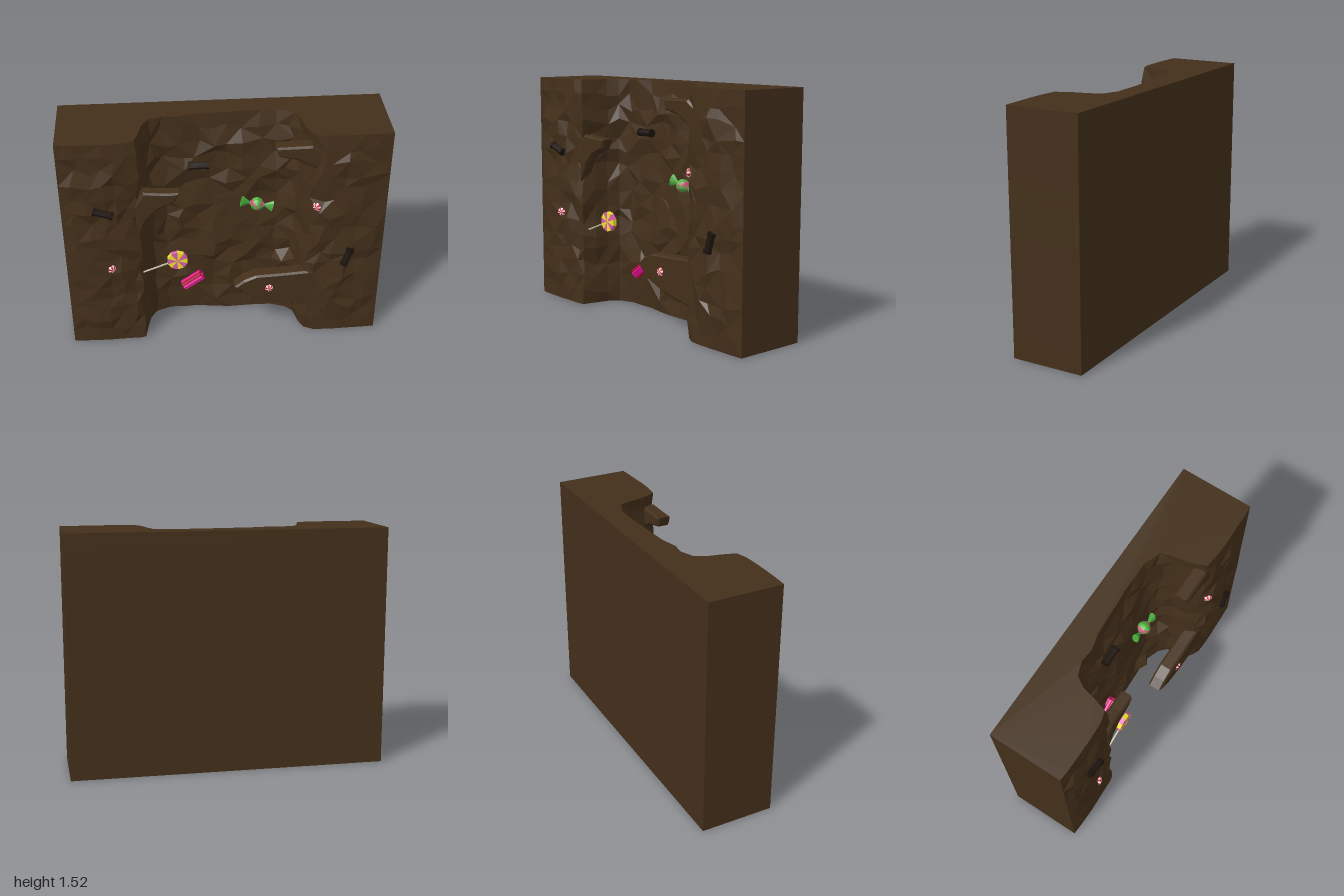
import * as THREE from 'three';

const W = 1, H = 1.52, BACK = -0.27, ROWS = 16;
const ROCK = 0x432f1a;

// repeatable noise in -1..1 from two indices
function noise(i, j) {
  const s = Math.sin(i * 127.1 + j * 311.7) * 43758.5453;
  return (s - Math.floor(s)) * 2 - 1;
}

function mat(color, flat = true) {
  return new THREE.MeshStandardMaterial({ color, flatShading: flat });
}

function add(parent, name, geometry, color, pos = [0, 0, 0], rot = [0, 0, 0]) {
  const m = new THREE.Mesh(geometry, mat(color));
  m.name = name;
  m.position.set(...pos);
  m.rotation.set(...rot);
  parent.add(m);
  return m;
}

// Horizontal section of the wall front, left cliff - recess - right cliff
const SECTION = [
  [-1, 0.2], [-0.92, 0.215], [-0.83, 0.225], [-0.74, 0.225], [-0.66, 0.215], [-0.59, 0.205], [-0.53, 0.185],
  [-0.5, 0.1], [-0.48, 0.02], [-0.44, -0.05], [-0.36, -0.08], [-0.26, -0.08], [-0.16, -0.085], [-0.06, -0.08],
  [0.04, -0.08], [0.14, -0.085], [0.24, -0.085], [0.34, -0.08], [0.42, -0.055], [0.475, 0.01], [0.49, 0.1],
  [0.53, 0.185], [0.59, 0.215], [0.66, 0.225], [0.74, 0.23], [0.83, 0.22], [0.92, 0.215], [1, 0.2],
];

// One closed loop per row, front points first, then the two back corners
function sectionAt(row) {
  const t = row / ROWS;
  const taper = Math.min(1, Math.min(t, 1 - t) * 8);
  const loop = SECTION.map(([x, z], c) => {
    if (Math.abs(x) === 1) return [x, z];
    const onFace = Math.abs(x) > 0.56;
    const onSide = !onFace && Math.abs(x) > 0.43;
    const px = x + (onSide ? 0.012 * noise(row, x > 0 ? 5 : 9) + 0.008 * noise(row, c) : 0.028 * noise(row + 40, c));
    let pz;
    if (onFace) pz = 0.2 + (z - 0.2) * (0.3 + 0.7 * taper) + 0.017 * noise(row, c) * taper;
    else if (onSide) pz = z + 0.014 * noise(row, c);
    else {
      pz = z + 0.022 * noise(row, c);
      if (t > 0.93) pz -= 0.035 * (1 - Math.abs(x - 0.15) * 1.6) * (t === 1 ? 1.4 : 0.6);
    }
    return [px, pz];
  });
  loop.push([W, BACK], [-W, BACK]);
  return loop;
}

function wallGeometry() {
  const pos = [], idx = [];
  const n = SECTION.length + 2;
  let loop;
  for (let r = 0; r <= ROWS; r++) {
    loop = sectionAt(r);
    loop.forEach(([x, z], c) => {
      const inner = r > 0 && r < ROWS && Math.abs(x) < 0.98;
      pos.push(x, H * r / ROWS + (inner ? 0.026 * noise(r + 80, c) : 0), z);
    });
  }
  for (let r = 0; r < ROWS; r++) {
    for (let c = 0; c < n; c++) {
      const a = r * n + c, b = r * n + (c + 1) % n;
      if ((r * 7 + c * 3) % 5 < 3) idx.push(a, b, b + n, a, b + n, a + n);
      else idx.push(a, b, a + n, b, b + n, a + n);
    }
  }
  // flat top and bottom
  for (const r of [0, ROWS]) {
    const pts = sectionAt(r).map(([x, z]) => new THREE.Vector2(x, -z));
    for (const [a, b, c] of THREE.ShapeUtils.triangulateShape(pts, [])) {
      const o = r * n;
      if (r) idx.push(o + a, o + b, o + c);
      else idx.push(o + a, o + c, o + b);
    }
  }
  const g = new THREE.BufferGeometry();
  g.setAttribute('position', new THREE.Float32BufferAttribute(pos, 3));
  g.setIndex(idx);
  const flat = g.toNonIndexed();
  flat.computeVertexNormals();
  return flat;
}

// Rock shelf cut from a front outline
function shelf(parent, name, outline, z0, z1) {
  const b = 0.012;
  const shape = new THREE.Shape(outline.map(([x, y]) => new THREE.Vector2(x, y)));
  const g = new THREE.ExtrudeGeometry(shape, {
    depth: z1 - z0 - 2 * b, bevelEnabled: true, bevelThickness: b, bevelSize: b, bevelOffset: -b, bevelSegments: 1,
  });
  add(parent, name, g, ROCK, [0, 0, z0 + b]);
}

// Round sweet facing +z, made of coloured wedges
function wedges(name, n, colors, makeWedge) {
  const g = new THREE.Group();
  g.name = name;
  for (let i = 0; i < n; i++) {
    const start = i / n * Math.PI * 2;
    add(g, 'wedge', makeWedge(start, Math.PI * 2 / n), colors[i % colors.length], [0, 0, 0], [Math.PI / 2, 0, 0]);
  }
  return g;
}

function mint(x, y, z, r, turn) {
  const g = wedges('peppermint', 12, [0xf2e6e6, 0xc8203a],
    (s, l) => new THREE.SphereGeometry(r, 2, 6, s, l).scale(1, 0.5, 1));
  g.position.set(x, y, z);
  g.rotation.y = turn;
  return g;
}

function lollipop() {
  const g = new THREE.Group();
  g.name = 'lollipop';
  const head = wedges('lollipopHead', 10, [0xf0e030, 0xd860a8],
    (s, l) => new THREE.CylinderGeometry(0.066, 0.066, 0.028, 1, 1, false, s, l));
  head.position.set(-0.303, 0.6, 0.147);
  g.add(head);
  const a = Math.atan2(0.09, 0.23);
  add(g, 'lollipopStick', new THREE.CylinderGeometry(0.006, 0.006, 0.22, 6), 0xb8b49c,
    [-0.425, 0.552, 0.147], [0, 0, a - Math.PI / 2]);
  return g;
}

function wrappedCandy() {
  const g = wedges('wrappedCandy', 9, [0x46a83c, 0x5cb84a, 0xc85a78],
    (s, l) => new THREE.SphereGeometry(0.043, 2, 8, s, l));
  for (const side of [-1, 1]) {
    const tail = new THREE.ConeGeometry(0.042, 0.068, 8).scale(1, 1, 0.6);
    add(g, 'wrapperTail', tail, 0x46a83c, [side * 0.069, 0, 0], [0, 0, side * Math.PI / 2]);
    add(g, 'wrapperStripe', new THREE.TorusGeometry(0.012, 0.005, 5, 8), 0xc85a78, [side * 0.043, 0, 0], [0, Math.PI / 2, 0]);
  }
  g.position.set(0.22, 0.88, -0.04);
  g.rotation.z = -0.24;
  return g;
}

// Bundle of ribbed strands
function candyStick() {
  const g = new THREE.Group();
  g.name = 'ribbedCandyStick';
  for (let i = 0; i < 7; i++) {
    const a = i / 7 * Math.PI * 2;
    add(g, 'strand', new THREE.CylinderGeometry(0.014, 0.014, 0.15, 6), i % 2 ? 0xb01038 : 0xe0108c,
      [0, 0.023 * Math.sin(a), 0.023 * Math.cos(a)], [0, 0, Math.PI / 2]);
  }
  g.position.set(-0.2, 0.27, -0.05);
  g.rotation.z = 0.62;
  return g;
}

// Dark chocolate piece: squat eight-sided roll with end rims
function darkRoll(x, y, z, turn) {
  const g = new THREE.Group();
  g.name = 'chocolateRoll';
  add(g, 'rollBody', new THREE.CylinderGeometry(0.023, 0.023, 0.12, 8), 0x1f1610, [0, 0, 0], [0, 0, Math.PI / 2]);
  for (const s of [-1, 1]) {
    add(g, 'rollEnd', new THREE.CylinderGeometry(0.027, 0.027, 0.018, 8), 0x1a120d, [s * 0.054, 0, 0], [0, 0, Math.PI / 2]);
  }
  g.position.set(x, y, z);
  g.rotation.z = turn;
  return g;
}

export function createModel() {
  const model = new THREE.Group();
  model.name = 'rockWallWithSweets';
  add(model, 'rockWall', wallGeometry(), ROCK);

  // shelves reaching out of the cliffs over the recess
  shelf(model, 'leftShelf', [[-0.56, 1.06], [-0.54, 0.84], [-0.49, 0.95], [-0.42, 1.03], [-0.31, 1.08],
    [-0.28, 1.145], [-0.4, 1.15], [-0.5, 1.16]], 0.12, 0.2);
  shelf(model, 'rightLowerShelf', [[0.06, 0.39], [0.15, 0.31], [0.3, 0.25], [0.45, 0.22], [0.6, 0.2],
    [0.6, 0.5], [0.4, 0.485], [0.2, 0.475], [0.12, 0.44]], 0.105, 0.2);
  shelf(model, 'rightUpperShelf', [[0.3, 1.44], [0.32, 1.375], [0.43, 1.35], [0.52, 1.3], [0.6, 1.25],
    [0.62, 1.38], [0.52, 1.445]], 0.11, 0.2);

  // low boulder at the foot of the recess
  add(model, 'boulder', new THREE.ConeGeometry(0.13, 0.07, 5).scale(1, 1, 0.5), ROCK, [0.25, 0.14, -0.06], [Math.PI / 2, 0, 0]);

  // sweets stuck to the rock
  model.add(lollipop(), wrappedCandy(), candyStick());
  model.add(mint(0.56, 1.02, 0.217, 0.028, -0.7), mint(0.285, 0.375, 0.2, 0.027, 0), mint(-0.715, 0.62, 0.237, 0.027, 0.5));
  model.add(darkRoll(-0.745, 1.05, 0.237, -0.33), darkRoll(-0.15, 1.185, -0.045, 0), darkRoll(0.77, 0.64, 0.24, 1.25));
  return model;
}
